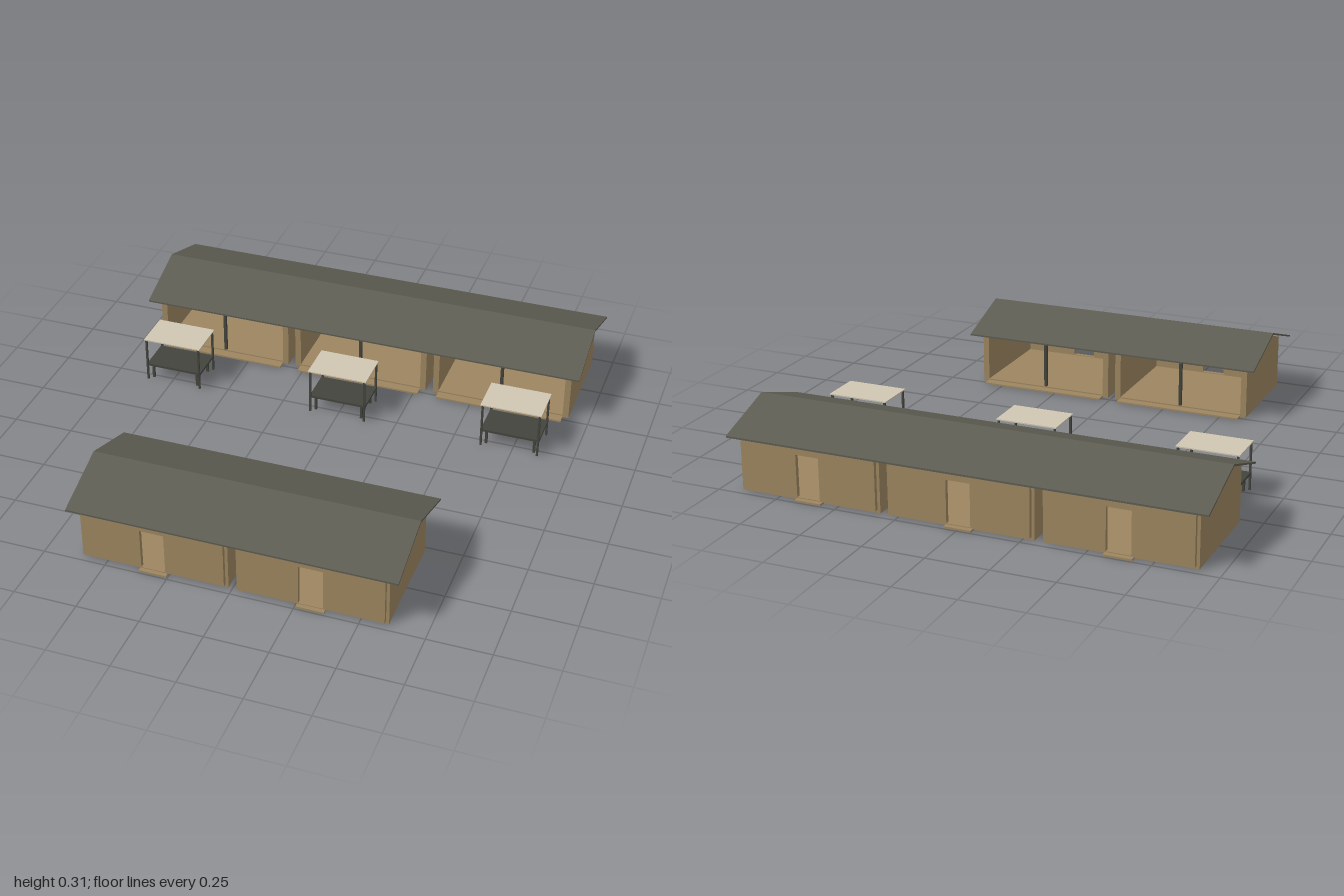
import * as THREE from 'three';

const mat = (name, color) => Object.assign(new THREE.MeshStandardMaterial({ color }), { name });

export function createModel() {
  const wall = mat('tan plank', 0x9c8560);
  const roofing = mat('grey roofing', 0x5c5c52);
  const timber = mat('dark timber', 0x44443e);
  const cloth = mat('beige canopy', 0xcfc6b2);

  const add = (parent, name, geometry, material, x = 0, y = 0, z = 0) => {
    const m = new THREE.Mesh(geometry, material);
    m.name = name;
    m.position.set(x, y, z);
    parent.add(m);
    return m;
  };
  // Box given by its minimum and maximum corners
  const box = (parent, name, material, x0, x1, y0, y1, z0, z1) =>
    add(parent, name, new THREE.BoxGeometry(x1 - x0, y1 - y0, z1 - z0), material,
      (x0 + x1) / 2, (y0 + y1) / 2, (z0 + z1) / 2);
  const group = (parent, name, x = 0, z = 0) => {
    const g = new THREE.Group();
    g.name = name;
    g.position.set(x, 0, z);
    parent.add(g);
    return g;
  };
  const extrude = (points, depth, hole) => {
    const s = new THREE.Shape(points.map(p => new THREE.Vector2(...p)));
    if (hole) s.holes.push(new THREE.Path(hole.map(p => new THREE.Vector2(...p))));
    return new THREE.ExtrudeGeometry(s, { depth, bevelEnabled: false });
  };

  const HALF = 0.294, T = 0.025, PITCH = 0.62;

  // Side wall with a gable peak, profile in z/y, extruded along x
  const gable = extrude([[-0.218, 0], [0.228, 0], [0.228, 0.222], [0, 0.302], [-0.218, 0.226]], T);
  gable.rotateY(Math.PI / 2);
  // Back wall with a doorway
  const W = HALF - 0.012;
  const backWall = extrude([[-W, 0.012], [W, 0.012], [W, 0.213], [-W, 0.213]], 0.017,
    [[-0.048, 0.015], [-0.048, 0.185], [0.048, 0.185], [0.048, 0.015]]);

  // One stall, open towards +z
  const stall = (parent, x) => {
    const g = group(parent, 'stall', x);
    box(g, 'floor', wall, -HALF, HALF, 0, 0.012, -0.228, 0.218);
    add(g, 'sideWall', gable, wall, -HALF, 0, 0);
    add(g, 'sideWall', gable, wall, HALF - T, 0, 0);
    add(g, 'backWall', backWall, wall, 0, 0, -0.244);
    box(g, 'frontStep', wall, -0.27, 0.27, 0, 0.007, 0.218, 0.258);
    box(g, 'doorStep', wall, -0.055, 0.055, 0, 0.007, -0.256, -0.228);
    box(g, 'centrePost', timber, -0.006, 0.006, 0.012, 0.215, 0.204, 0.216);
    box(g, 'lintel', timber, -HALF + T, HALF - T, 0.211, 0.219, 0.204, 0.216);
  };

  // Thin folded roof, profile in z/y
  const roof = length => {
    const geo = extrude([[-0.263, 0.217], [0, 0.304], [0.263, 0.217], [0.263, 0.224],
      [0, 0.312], [-0.263, 0.224]], length);
    return geo.rotateY(Math.PI / 2).translate(-length / 2, 0, 0);
  };

  const row = (parent, name, count, z, length) => {
    const g = group(parent, name, 0, z);
    for (let i = 0; i < count; i++) stall(g, (i - (count - 1) / 2) * PITCH);
    add(g, 'roof', roof(length), roofing);
    return g;
  };

  // Table under a flat canopy
  const marketTable = (parent, x) => {
    const g = group(parent, 'marketTable', x, -0.295);
    box(g, 'canopy', cloth, -0.126, 0.126, 0.194, 0.199, -0.085, 0.085);
    box(g, 'tableTop', timber, -0.122, 0.122, 0.064, 0.074, -0.075, 0.075);
    for (const sx of [-1, 1]) for (const sz of [-1, 1]) {
      const px = sx * 0.118, pz = sz * 0.078, lx = sx * 0.1, lz = sz * 0.058;
      box(g, 'canopyPost', timber, px - 0.004, px + 0.004, 0, 0.194, pz - 0.004, pz + 0.004);
      box(g, 'tableLeg', timber, lx - 0.005, lx + 0.005, 0, 0.064, lz - 0.005, lz + 0.005);
    }
  };

  const model = new THREE.Group();
  model.name = 'marketStalls';
  row(model, 'backRow', 3, -0.737, 1.908);
  row(model, 'frontRow', 2, 0.737, 1.29).rotation.y = Math.PI;
  for (const x of [-0.737, 0, 0.737]) marketTable(model, x);
  return model;
}
